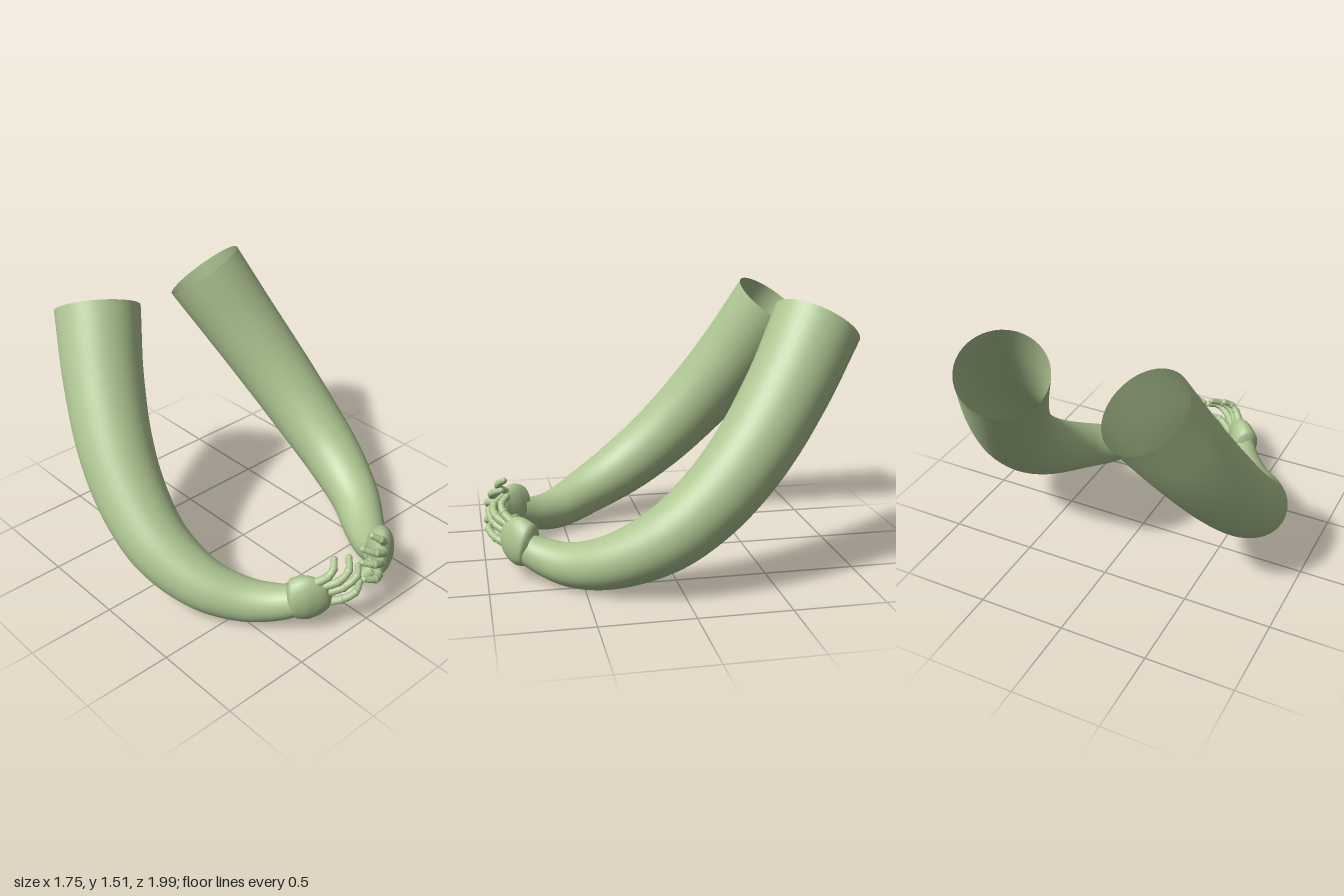
import * as THREE from 'three';

const skin = new THREE.MeshStandardMaterial({ color: 0xaec692, side: THREE.DoubleSide });
skin.name = 'green skin';

// Smooth skin over elliptical sections [x, y, z, half height, half thickness]
function loft(name, sections, side, steps, sides) {
  const centre = new THREE.CatmullRomCurve3(sections.map(s => new THREE.Vector3(s[0] * side, s[1], s[2])));
  const size = new THREE.CatmullRomCurve3(sections.map(s => new THREE.Vector3(s[3], s[4] ?? s[3], 0)));
  const up = new THREE.Vector3(0, 1, 0);
  const positions = [], index = [];
  for (let i = 0; i <= steps; i++) {
    const c = centre.getPoint(i / steps), r = size.getPoint(i / steps);
    const t = centre.getTangent(i / steps);
    const across = t.clone().cross(up).normalize();
    const high = across.clone().cross(t);
    for (let j = 0; j < sides; j++) {
      const angle = j / sides * Math.PI * 2;
      const p = c.clone()
        .addScaledVector(high, Math.max(r.x, 0.001) * Math.cos(angle))
        .addScaledVector(across, Math.max(r.y, 0.001) * Math.sin(angle));
      positions.push(p.x, p.y, p.z);
      if (i < steps) {
        const a = i * sides + j, b = i * sides + (j + 1) % sides;
        index.push(a, b, a + sides, b, b + sides, a + sides);
      }
    }
  }
  const geometry = new THREE.BufferGeometry();
  geometry.setAttribute('position', new THREE.Float32BufferAttribute(positions, 3));
  geometry.setIndex(index);
  geometry.computeVertexNormals();
  const mesh = new THREE.Mesh(geometry, skin);
  mesh.name = name;
  return mesh;
}

function ball(name, [x, y, z], radius, side) {
  const mesh = new THREE.Mesh(new THREE.SphereGeometry(radius, 16, 12), skin);
  mesh.position.set(x * side, y, z);
  mesh.name = name;
  return mesh;
}

// Hollow arm, open at the shoulder, tapering to the wrist
const ARM = [
  [0.395, 1.37, -0.785, 0.243], [0.525, 1.04, -0.585, 0.226], [0.63, 0.73, -0.36, 0.211],
  [0.68, 0.49, -0.135, 0.195], [0.68, 0.315, 0.09, 0.176], [0.605, 0.185, 0.345, 0.146],
  [0.48, 0.128, 0.54, 0.122], [0.38, 0.14, 0.68, 0.102], [0.31, 0.185, 0.79, 0.085],
];

const PALM = [
  [0.362, 0.2, 0.757, 0.07, 0.05], [0.345, 0.205, 0.775, 0.122, 0.08], [0.3, 0.215, 0.82, 0.138, 0.075],
  [0.25, 0.22, 0.865, 0.12, 0.055], [0.21, 0.225, 0.892, 0.085, 0.035], [0.19, 0.23, 0.905, 0.015, 0.01],
];

// Joints of each finger, from knuckle to tip
const FINGERS = [
  [[0.27, 0.31, 0.85], [0.22, 0.36, 0.9], [0.185, 0.395, 0.905], [0.15, 0.423, 0.875]],
  [[0.24, 0.285, 0.87], [0.18, 0.33, 0.94], [0.11, 0.365, 0.945], [0.055, 0.395, 0.895]],
  [[0.22, 0.24, 0.88], [0.15, 0.28, 0.95], [0.07, 0.325, 0.97], [0.018, 0.342, 0.93]],
  [[0.21, 0.165, 0.87], [0.15, 0.19, 0.94], [0.08, 0.22, 0.975], [0.018, 0.24, 0.95]],
];
const FINGER_RADII = [0.028, 0.022, 0.02, 0.018];

const THUMB = [
  [0.28, 0.18, 0.835, 0.06], [0.225, 0.13, 0.83, 0.05], [0.18, 0.092, 0.81, 0.038],
  [0.145, 0.082, 0.802, 0.031], [0.12, 0.085, 0.8, 0.028],
];

function createArm(side, label) {
  const arm = new THREE.Group();
  arm.name = label + 'Arm';
  arm.add(loft('sleeveOfArm', ARM, side, 64, 48));

  const hand = new THREE.Group();
  hand.name = label + 'Hand';
  hand.add(loft('palm', PALM, side, 24, 28));
  FINGERS.forEach((joints, n) => {
    const finger = new THREE.Group();
    finger.name = 'finger' + (n + 1);
    finger.add(loft('fingerBones', joints.map((p, i) => [...p, FINGER_RADII[i]]), side, 18, 14));
    joints.forEach((p, i) => {
      const last = i === joints.length - 1;
      finger.add(ball(last ? 'fingertip' : 'knuckle', p, FINGER_RADII[i] + (last ? 0.001 : 0.003), side));
    });
    hand.add(finger);
  });
  hand.add(loft('thumb', THUMB, side, 16, 16));
  hand.add(ball('thumbTip', THUMB.at(-1), 0.03, side));
  arm.add(hand);
  return arm;
}

export function createModel() {
  const model = new THREE.Group();
  model.name = 'pairOfArms';
  model.add(createArm(1, 'left'), createArm(-1, 'right'));
  return model;
}
